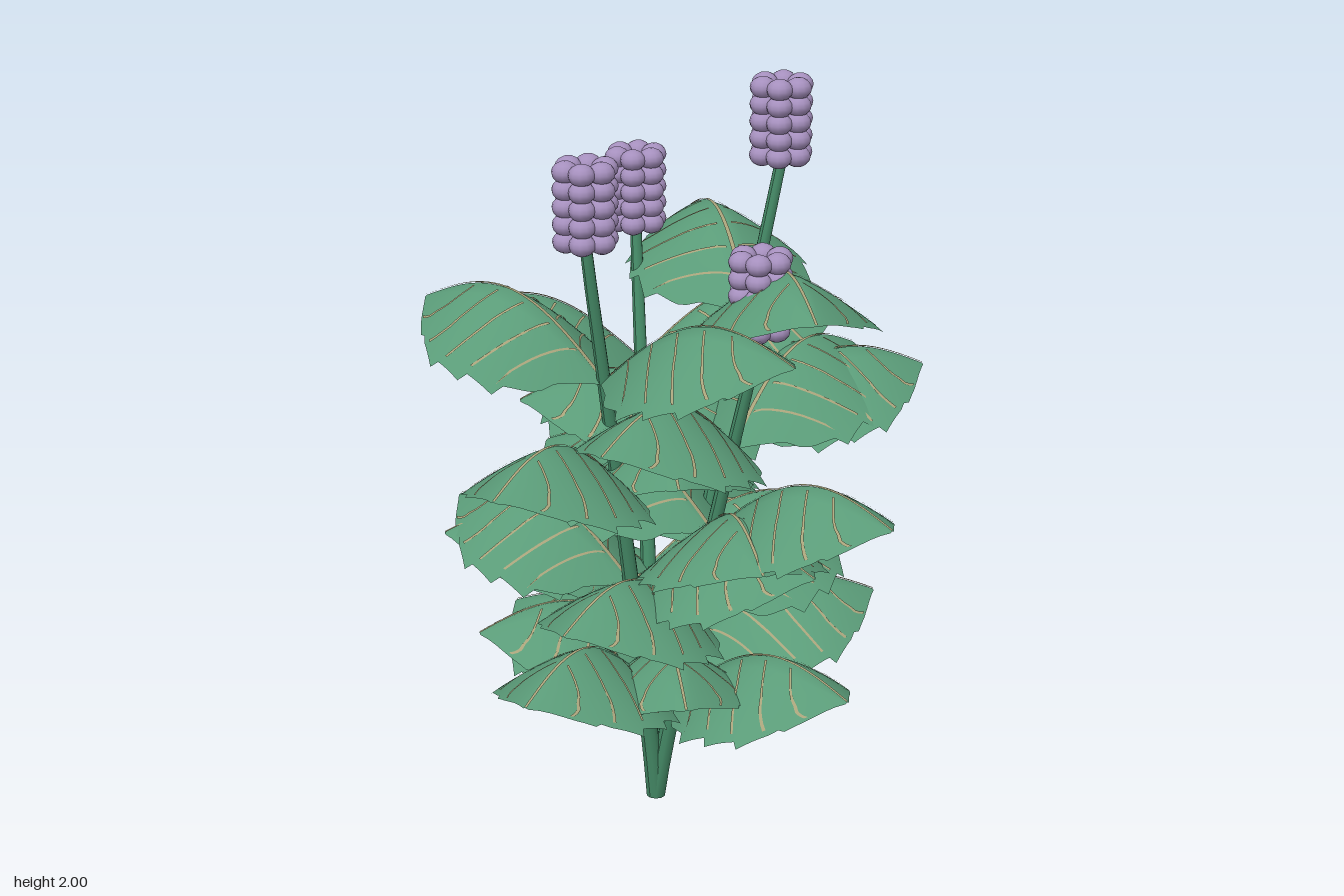
import * as THREE from 'three';
import { mergeGeometries } from 'three/addons/utils/BufferGeometryUtils.js';

const BASE = { x: -0.07, z: -0.06 };
const LENGTH = 0.55;
const HALF = 0.25;
const OUTLINE = [[0, 0.06], [0.08, 0.3], [0.2, 0.68], [0.33, 0.93], [0.48, 1.0], [0.65, 0.98], [0.78, 0.76], [0.9, 0.42], [1, 0.03]];

// Half-width of the blade at t, before the toothed edge is cut
function halfWidth(t) {
  const k = Math.max(1, OUTLINE.findIndex((p) => p[0] >= t));
  const [a, b] = [OUTLINE[k - 1], OUTLINE[k]];
  return HALF * (a[1] + (b[1] - a[1]) * (t - a[0]) / (b[0] - a[0]));
}

// Rising, arched, tent-like leaf surface: t runs base to tip, v runs edge to edge
function leafPoint(t, v, lift = 0) {
  const tooth = 1 - 0.1 * ((t * 6) % 1) * Math.abs(v);
  const x = v * halfWidth(t) * tooth;
  const rib = 0.135 * t + 0.125 * Math.sin(Math.PI * t);
  const droop = 0.168 * Math.pow(Math.abs(x) / HALF, 1.25);
  return [x, rib - droop + lift, t * LENGTH];
}

// Grid surface from a point rule, facing up
function gridSurface(rows, cols, point) {
  const position = [], index = [];
  for (let i = 0; i <= rows; i++) {
    for (let j = 0; j <= cols; j++) {
      position.push(...point(i / rows, j / cols));
      if (i < rows && j < cols) {
        const a = i * (cols + 1) + j, b = a + cols + 1;
        index.push(a, b, a + 1, b, b + 1, a + 1);
      }
    }
  }
  const g = new THREE.BufferGeometry();
  g.setAttribute('position', new THREE.Float32BufferAttribute(position, 3));
  g.setIndex(index);
  g.computeVertexNormals();
  return g;
}

// Flat midrib ribbon lying along the ridge of the blade
function midribGeometry() {
  return gridSurface(24, 2, (t, w) => {
    const [, y, z] = leafPoint(t, 0, 0.003);
    return [(w - 0.5) * (0.013 - 0.006 * t), y, z];
  });
}

// Thin side veins that sweep forward from the midrib
function veinGeometry() {
  const strips = [];
  for (const side of [-1, 1]) {
    for (let k = 0; k < 5; k++) {
      const start = 0.14 + k * 0.14;
      strips.push(gridSurface(8, 1, (s, w) => {
        // swap the edges on one half so both halves face up
        const across = (w - 0.5) * -side * 0.012;
        return leafPoint(Math.min(0.97, start + 0.19 * s + across), side * (0.08 + 0.84 * s), 0.004);
      }));
    }
  }
  return mergeGeometries(strips);
}

export function createModel() {
  const plant = new THREE.Group();
  plant.name = 'floweringPlant';

  const material = (name, color, side = THREE.FrontSide) => {
    const m = new THREE.MeshStandardMaterial({ color, side });
    m.name = name;
    return m;
  };
  const leafGreen = material('leaf green', 0x5a9b78, THREE.DoubleSide);
  const stemGreen = material('stem green', 0x468c68);
  const veinTan = material('vein tan', 0xa8a27a, THREE.DoubleSide);
  const petalPurple = material('blossom purple', 0xa690be);

  // Shared leaf geometries
  const blade = gridSurface(36, 12, (t, s) => leafPoint(t, s * 2 - 1));
  const veins = veinGeometry();
  const midrib = midribGeometry();

  const add = (parent, geometry, mat, name) => {
    const mesh = new THREE.Mesh(geometry, mat);
    mesh.name = name;
    parent.add(mesh);
    return mesh;
  };

  // Blossom spike: five rings of six plump, slightly flattened buds
  const buds = [];
  for (let row = 0; row < 5; row++) {
    for (let k = 0; k < 6; k++) {
      const a = k * Math.PI / 3;
      const bud = new THREE.SphereGeometry(0.034, 12, 8);
      bud.scale(1, 0.82, 1);
      bud.translate(0.052 * Math.cos(a), 0.028 + row * 0.044, 0.052 * Math.sin(a));
      buds.push(bud);
    }
  }
  const spike = mergeGeometries(buds);

  // Spike position (x, z) and height of the spike's lower end
  const stalks = [
    { x: -0.31, z: -0.285, h: 1.523 },
    { x: -0.04, z: 0.26, h: 1.645 },
    { x: 0.13, z: -0.325, h: 1.768 },
    { x: 0.257, z: -0.065, h: 1.393 },
  ];

  for (const { x, z, h } of stalks) {
    const stalk = new THREE.Group();
    stalk.name = 'stalk';
    plant.add(stalk);
    const dx = x - BASE.x, dz = z - BASE.z;
    const bend = (f) => Math.pow(Math.max(f, 0), 1.1);

    // Leaning stem
    const top = h + 0.12;
    const stemShape = new THREE.CylinderGeometry(0.015, 0.026, top, 10, 16);
    stemShape.translate(0, top / 2, 0);
    const pos = stemShape.attributes.position;
    for (let i = 0; i < pos.count; i++) {
      const f = bend(Math.min(pos.getY(i) / h, 1));
      pos.setX(i, pos.getX(i) + BASE.x + dx * f);
      pos.setZ(i, pos.getZ(i) + BASE.z + dz * f);
    }
    stemShape.computeVertexNormals();
    add(stalk, stemShape, stemGreen, 'stem');

    add(stalk, spike, petalPurple, 'blossomSpike').position.set(x, h, z);

    // Four crossed pairs of leaves
    const lean = Math.atan2(dx, dz);
    for (let level = 0; level < 4; level++) {
      const f = 0.233 + 0.182 * level;
      for (const half of [0, Math.PI]) {
        const leaf = new THREE.Group();
        leaf.name = 'leaf';
        leaf.position.set(BASE.x + dx * bend(f), h * f, BASE.z + dz * bend(f));
        leaf.rotation.y = lean + half + (level % 2 ? Math.PI / 2 : 0);
        add(leaf, blade, leafGreen, 'leafBlade');
        add(leaf, midrib, veinTan, 'midrib');
        add(leaf, veins, veinTan, 'sideVeins');
        stalk.add(leaf);
      }
    }
  }
  return plant;
}
